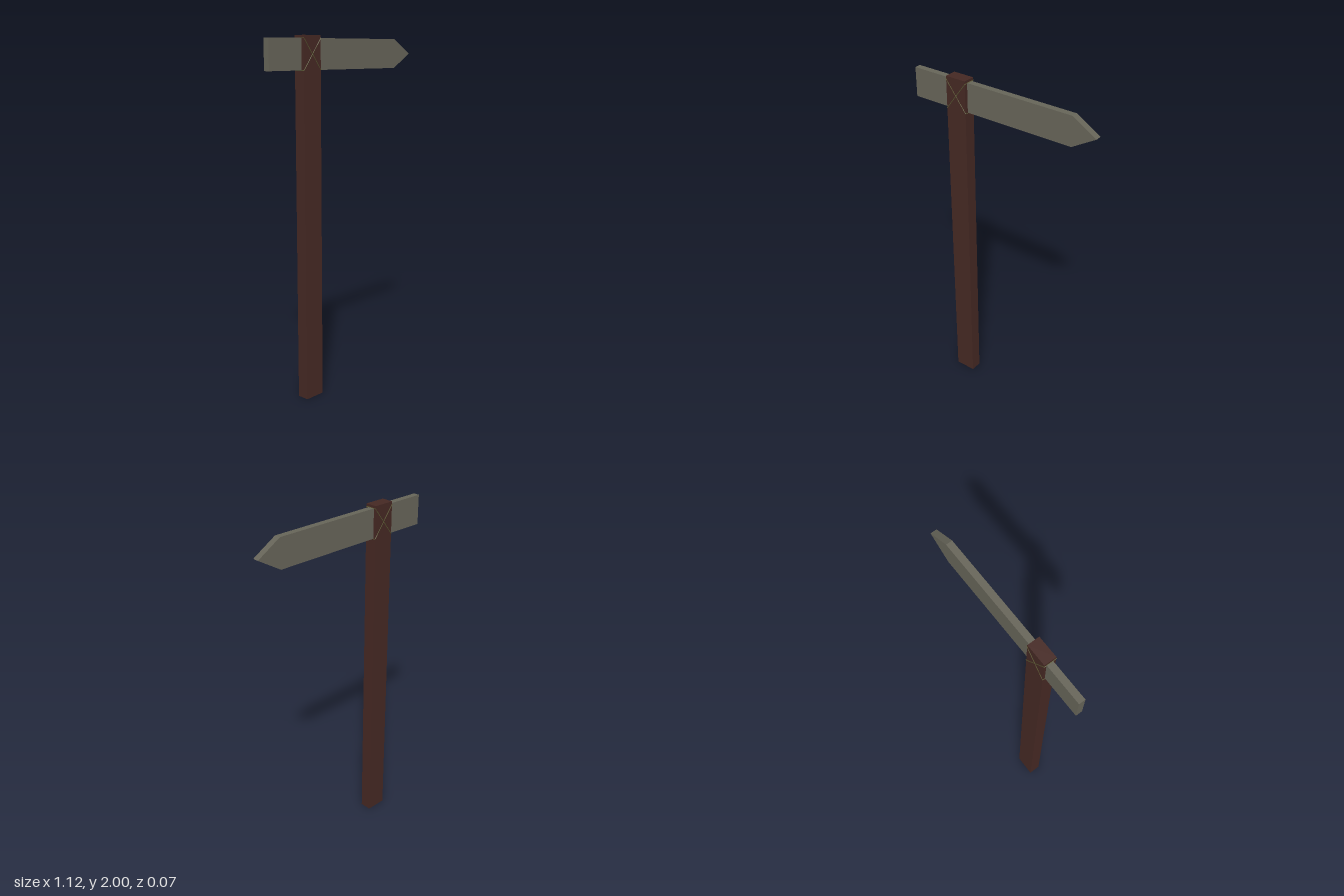
import * as THREE from 'three';

const POST = { x: -0.273, w: 0.123, d: 0.068, h: 2 };
const BOARD = { left: -0.5625, shoulder: 0.425, tip: 0.5625, bottom: 1.82, top: 1.985, back: -0.021, front: 0.015 };

const material = (color) => new THREE.MeshStandardMaterial({ color, flatShading: true });

function addMesh(group, name, geometry, mat) {
  const mesh = new THREE.Mesh(geometry, mat);
  mesh.name = name;
  group.add(mesh);
  return mesh;
}

// One cord wound diagonally across the front and back of the post
function cordLoop(slant) {
  const r = 0.0018;
  const hw = POST.w / 2 + r, hd = POST.d / 2 + r * 0.4;
  const mid = (BOARD.bottom + BOARD.top) / 2, rise = 0.083 * slant;
  const corners = [[-1, 1], [1, 1], [1, -1], [-1, -1]].map(
    ([sx, sz]) => new THREE.Vector3(POST.x + sx * hw, mid + sx * rise, sz * hd));
  const path = new THREE.CurvePath();
  corners.forEach((p, i) => path.add(new THREE.LineCurve3(p, corners[(i + 1) % 4])));
  return new THREE.TubeGeometry(path, 96, r, 6, true);
}

export function createModel() {
  const model = new THREE.Group();
  model.name = 'signpost';

  // Upright post
  const post = addMesh(model, 'post', new THREE.BoxGeometry(POST.w, POST.h, POST.d), material(0x452823));
  post.position.set(POST.x, POST.h / 2, 0);

  // Arrow-shaped board passing through the post
  const { left, shoulder, tip, bottom, top, back, front } = BOARD;
  const outline = new THREE.Shape([
    [left, bottom], [shoulder, bottom], [tip, (bottom + top) / 2], [shoulder, top], [left, top],
  ].map(([x, y]) => new THREE.Vector2(x, y)));
  const board = addMesh(model, 'arrowBoard',
    new THREE.ExtrudeGeometry(outline, { depth: front - back, bevelEnabled: false }), material(0x666458));
  board.position.z = back;

  // Crossed cord lashing
  const lashing = new THREE.Group();
  lashing.name = 'lashing';
  const cord = material(0x5c5c34);
  addMesh(lashing, 'risingCord', cordLoop(1), cord);
  addMesh(lashing, 'fallingCord', cordLoop(-1), cord);
  model.add(lashing);

  return model;
}
